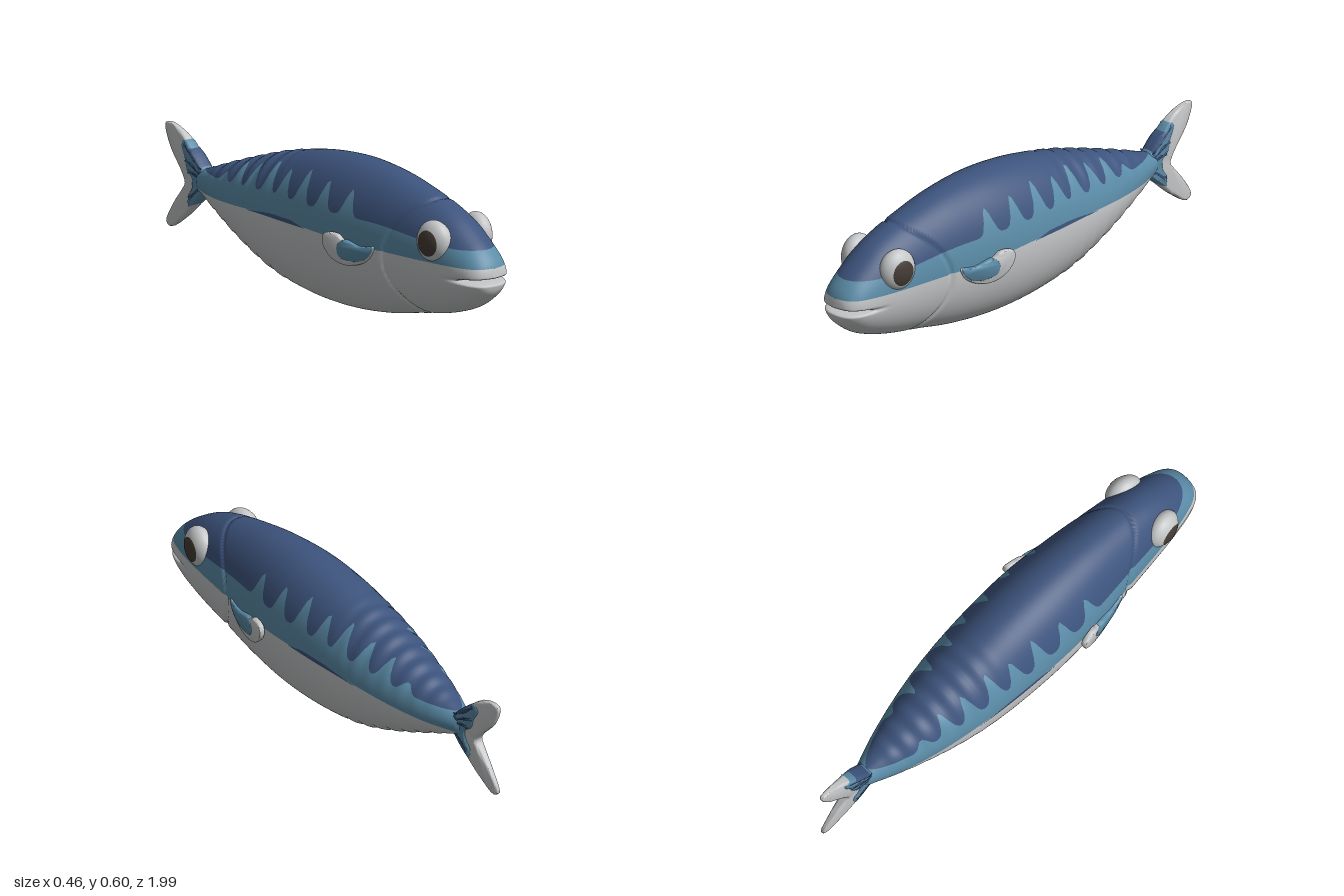
import * as THREE from 'three';
import { toCreasedNormals } from 'three/addons/utils/BufferGeometryUtils.js';

const material = (name, color) => Object.assign(new THREE.MeshStandardMaterial({ color }), { name });
const smooth = THREE.MathUtils.smoothstep;
const bell = (d, width) => Math.exp(-((d / width) ** 2));

// Body stations from tail to nose: z, top, bottom, half width
const STATIONS = [
  [-0.8, 0.335, 0.3, 0.012], [-0.775, 0.365, 0.27, 0.035], [-0.74, 0.374, 0.262, 0.052],
  [-0.607, 0.422, 0.203, 0.1], [-0.42, 0.487, 0.118, 0.15], [-0.23, 0.545, 0.048, 0.182],
  [-0.02, 0.59, 0.01, 0.198], [0.195, 0.607, 0.003, 0.2], [0.4, 0.592, 0.022, 0.182],
  [0.57, 0.558, 0.056, 0.161], [0.7, 0.522, 0.08, 0.145], [0.8, 0.48, 0.106, 0.13],
  [0.89, 0.42, 0.14, 0.112], [0.95, 0.37, 0.18, 0.092], [0.985, 0.325, 0.215, 0.06],
  [1, 0.272, 0.262, 0.006],
];
const LAST = STATIONS.length - 1;
const spline = new THREE.CubicInterpolant(STATIONS.map((s, i) => i), STATIONS.flat(), 4, new Float32Array(4));

function station(u) {
  const [z, top, bottom, w] = spline.evaluate(THREE.MathUtils.clamp(u, 0, LAST));
  return { z, c: (top + bottom) / 2, h: (top - bottom) / 2, w };
}

// Point on the +x half of the body; a runs from belly (-90 deg) to back (+90 deg)
function bodyPoint(u, a, lift = 0) {
  const { z, c, h, w } = station(u);
  const y = c + h * Math.sin(a);
  // ripples along the rear back and belly, and the gill groove
  const ripple = 0.004 * Math.sin(z * 84) * smooth(-z, 0.08, 0.25) * (1 - smooth(-z, 0.6, 0.72)) * Math.sin(a) ** 2;
  const groove = -0.007 * bell(z - 0.51 - 2.6 * (y - 0.29) ** 2, 0.012);
  const d = ripple + groove + lift;
  // mouth slot
  const mouth = bell(y - 0.262, 0.008) * smooth(z, 0.79, 0.95);
  return new THREE.Vector3(
    (w + d) * Math.cos(a) * (1 - 0.12 * mouth),
    c + (h + d) * Math.sin(a),
    z - 0.09 * mouth * smooth(z, 0.85, 1));
}

// Colour borders: notched edge of the back, and edge of the belly
const NOTCHES = [[0.302, 0.1], [0.163, 0.11], [0.03, 0.125], [-0.09, 0.105], [-0.195, 0.115],
  [-0.313, 0.095], [-0.42, 0.08], [-0.527, 0.035]];
const backEdge = (z) => {
  const base = 0.38 + 0.037 * smooth(-z, -0.9, -0.4) - 0.045 * smooth(-z, 0.05, 0.75);
  return NOTCHES.reduce((y, [nz, height]) => y + height * bell(z - nz, 0.027), base);
};
const bellyEdge = (z) => 0.315 + 0.015 * smooth(-z, -0.5, 0) - 0.035 * smooth(-z, 0.15, 0.75);

// Band of body skin between two heights, both sides in one mesh
function skin(name, mat, low, high, { from = 0, to = LAST, nu = 260, nv = 20, lift = 0 } = {}) {
  const pos = [], nor = [], index = [];
  const e = 1e-3;
  for (const s of [1, -1]) {
    const base = pos.length / 3;
    for (let i = 0; i <= nu; i++) {
      const u = from + (to - from) * i / nu;
      const { z, c, h } = station(u);
      const angle = (y) => Math.asin(THREE.MathUtils.clamp((y - c) / h, -1, 1));
      const a0 = angle(low(z)), a1 = angle(high(z));
      for (let j = 0; j <= nv; j++) {
        const a = a0 + (a1 - a0) * j / nv;
        const p = bodyPoint(u, a, lift);
        const pa = bodyPoint(u, a + e).sub(bodyPoint(u, a - e));
        const pu = bodyPoint(Math.min(u + e, LAST), a).sub(bodyPoint(Math.max(u - e, 0), a));
        const n = pa.cross(pu).normalize();
        pos.push(s * p.x, p.y, p.z);
        nor.push(s * n.x, n.y, n.z);
        if (i < nu && j < nv) {
          const A = base + i * (nv + 1) + j, B = A + 1, C = A + nv + 1, D = C + 1;
          if (s > 0) index.push(A, B, C, B, D, C);
          else index.push(A, C, B, B, C, D);
        }
      }
    }
  }
  const g = new THREE.BufferGeometry();
  g.setAttribute('position', new THREE.Float32BufferAttribute(pos, 3));
  g.setAttribute('normal', new THREE.Float32BufferAttribute(nor, 3));
  g.setIndex(index);
  const mesh = new THREE.Mesh(g, mat);
  mesh.name = name;
  return mesh;
}

// Rounded plate from a [z, y] outline, half thickness t, shaped by a rule for x
function plate(name, mat, outline, t, rule) {
  const curve = new THREE.CatmullRomCurve3(outline.map(([z, y]) => new THREE.Vector3(z, y, 0)), true);
  const shape = new THREE.Shape(curve.getPoints(60).map((p) => new THREE.Vector2(p.x, p.y)));
  const b = t * 0.6;
  let g = new THREE.ExtrudeGeometry(shape, {
    depth: 2 * (t - b), bevelThickness: b, bevelSize: b * 0.6, bevelOffset: -b * 0.6, bevelSegments: 4,
  });
  g.translate(0, 0, b - t).rotateY(-Math.PI / 2);
  const p = g.attributes.position;
  for (let i = 0; i < p.count; i++) p.setX(i, rule(p.getX(i), p.getZ(i)));
  g = toCreasedNormals(g, 0.9);
  const mesh = new THREE.Mesh(g, mat);
  mesh.name = name;
  return mesh;
}

export function createModel() {
  const navy = material('navy', 0x3d547d);
  const blue = material('steel blue', 0x5b8ca8);
  const silver = material('silver', 0xc4c6c7);
  const dark = material('dark brown', 0x463c35);
  const model = new THREE.Group();
  model.name = 'fish';

  // Body skin in three colours, plus a thin streak along each flank
  model.add(
    skin('back', navy, backEdge, () => 1),
    skin('flanks', blue, bellyEdge, backEdge),
    skin('belly', silver, () => -1, bellyEdge, { nv: 64 }),
    skin('flankStreak', navy,
      (z) => bellyEdge(z) - 0.003,
      (z) => bellyEdge(z) + 0.014 * smooth(z, -0.3, -0.1) * (1 - smooth(z, -0.02, 0.08)) - 0.001,
      { from: 4.65, to: 6.45, nu: 40, nv: 3, lift: 0.002 }));

  // Eyes: flattened ball with a pupil cap
  for (const s of [1, -1]) {
    const eye = new THREE.Group();
    eye.name = s > 0 ? 'leftEye' : 'rightEye';
    const ball = new THREE.Mesh(new THREE.SphereGeometry(1, 32, 24), silver);
    ball.name = 'eyeball';
    const pupil = new THREE.Mesh(
      new THREE.SphereGeometry(1.02, 32, 8, 0, Math.PI * 2, 0, 0.64).rotateZ(-s * Math.PI / 2), dark);
    pupil.name = 'pupil';
    eye.add(ball, pupil);
    eye.scale.set(0.053, 0.085, 0.08);
    eye.position.set(s * 0.106, 0.393, 0.755);
    eye.rotation.y = -s * 0.15;
    model.add(eye);
  }

  // Side fins, flaring outward to the rear
  const finOutline = [[0.47, 0.325], [0.4, 0.315], [0.31, 0.33], [0.285, 0.347], [0.225, 0.342],
    [0.218, 0.305], [0.26, 0.25], [0.33, 0.23], [0.4, 0.245], [0.45, 0.28]];
  const finPatch = [[0.468, 0.324], [0.4, 0.316], [0.315, 0.328], [0.29, 0.3], [0.3, 0.262],
    [0.35, 0.25], [0.41, 0.258], [0.45, 0.285]];
  for (const s of [1, -1]) {
    const flare = (x, z) => x + s * (0.167 + (0.47 - z) * 0.2);
    const fin = new THREE.Group();
    fin.name = s > 0 ? 'leftFin' : 'rightFin';
    fin.add(plate('finBlade', silver, finOutline, 0.012, flare),
      plate('finPatch', blue, finPatch, 0.015, flare));
    model.add(fin);
  }

  // Forked tail, thinning toward the tips
  const taper = (x, z) => x * (1 - 0.65 * smooth(-z, 0.78, 1));
  const tail = new THREE.Group();
  tail.name = 'tail';
  tail.add(plate('tailFork', silver, [[-0.74, 0.355], [-0.8, 0.415], [-0.88, 0.485], [-0.965, 0.515],
    [-0.995, 0.505], [-0.965, 0.42], [-0.885, 0.33], [-0.865, 0.295], [-0.885, 0.265], [-0.945, 0.195],
    [-0.99, 0.115], [-0.965, 0.098], [-0.885, 0.145], [-0.8, 0.22], [-0.74, 0.285]], 0.028, taper));
  tail.add(plate('tailRoot', blue, [[-0.735, 0.355], [-0.79, 0.405], [-0.865, 0.47], [-0.885, 0.44],
    [-0.86, 0.39], [-0.85, 0.35], [-0.815, 0.32], [-0.815, 0.285], [-0.84, 0.245], [-0.835, 0.2],
    [-0.79, 0.228], [-0.735, 0.285]], 0.031, taper));
  // Dark streaks fanning over the tail root
  for (const [z, y, w] of [[-0.865, 0.455, 0.018], [-0.855, 0.395, 0.011], [-0.835, 0.35, 0.009], [-0.83, 0.235, 0.01]]) {
    const z0 = -0.745, y0 = 0.325 + (y - 0.32) * 0.28;
    const zm = (z + z0) / 2, ym = (y + y0) / 2;
    tail.add(plate('tailStreak', navy,
      [[z0, y0], [zm, ym + w], [z, y], [zm, ym - w]], 0.034, taper));
  }
  model.add(tail);
  return model;
}
